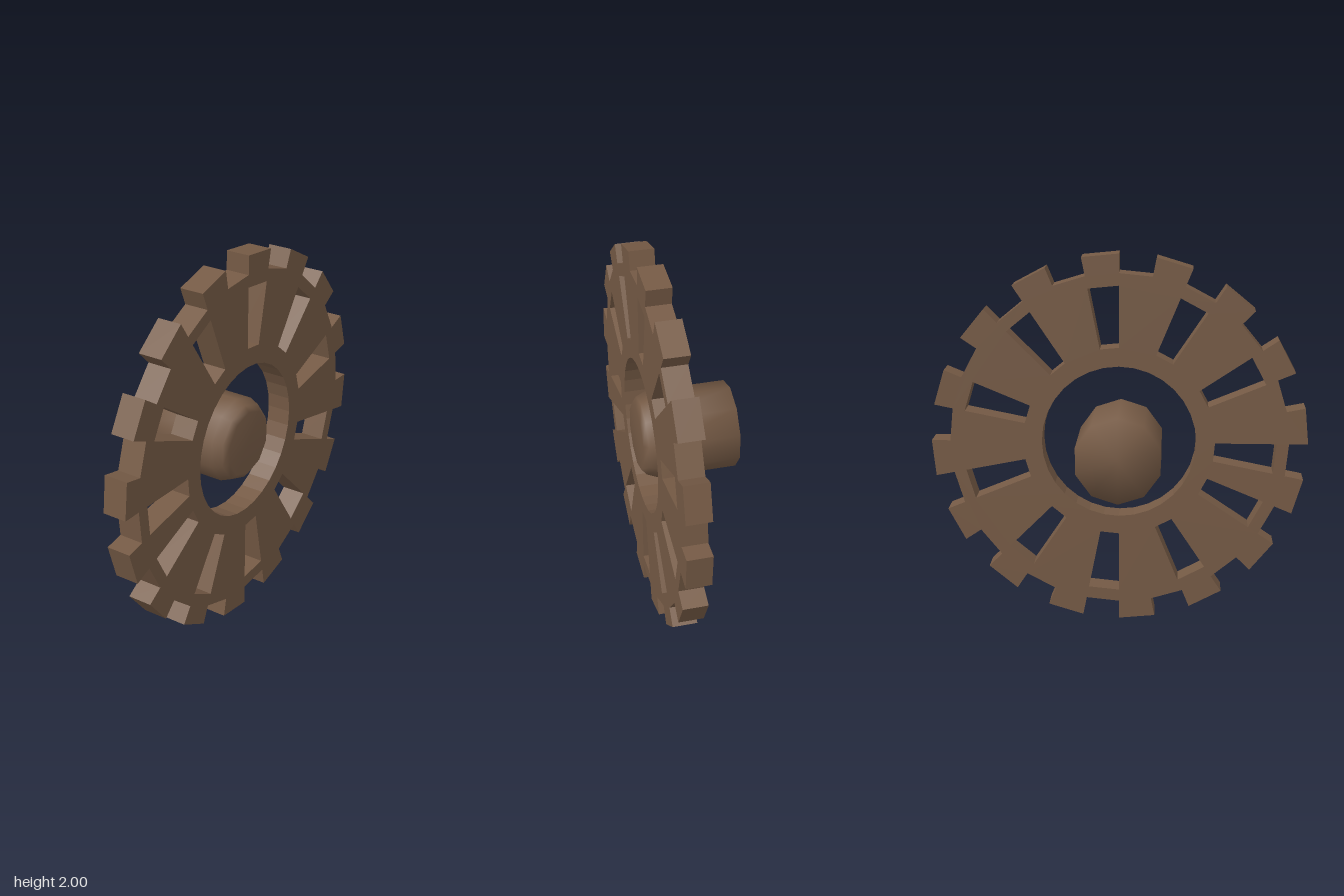
import * as THREE from 'three';

const STEP = Math.PI / 16; // the wheel is divided into 32 equal sectors
const polar = (radius, i) =>
  new THREE.Vector2(radius * Math.cos(i * STEP), radius * Math.sin(i * STEP));

// Flat gear plate: 16 teeth, slots in every third sector, open centre
function createGearPlate(material) {
  const outline = [];
  for (let i = 0; i < 32; i++) {
    const radius = i % 2 ? 1 : 0.9;
    outline.push(polar(radius, i), polar(radius, i + 1));
  }
  const shape = new THREE.Shape(outline);

  const bore = [];
  for (let i = 0; i < 32; i++) bore.push(polar(0.41, i));
  shape.holes.push(new THREE.Path(bore));

  for (let k = 0; k < 11; k++) {
    const i = 18 + 3 * k;
    shape.holes.push(new THREE.Path([
      polar(0.51, i), polar(0.835, i), polar(0.835, i + 1), polar(0.51, i + 1),
    ]));
  }

  const geometry = new THREE.ExtrudeGeometry(shape, { depth: 0.13, bevelEnabled: false });
  const plate = new THREE.Mesh(geometry, material);
  plate.name = 'gearPlate';
  plate.position.set(0, 1, 0.1);
  return plate;
}

// Ten-sided smooth-shaded axle with a rounded front end
function createAxle(material) {
  const profile = [
    [0, -0.25], [0.228, -0.25], [0.228, 0.17], [0.205, 0.225], [0.175, 0.25], [0, 0.25],
  ].map(([r, y]) => new THREE.Vector2(r, y));
  const geometry = new THREE.LatheGeometry(profile, 10);
  geometry.rotateX(Math.PI / 2);
  const axle = new THREE.Mesh(geometry, material);
  axle.name = 'axle';
  axle.position.set(-0.01, 0.993, 0);
  return axle;
}

export function createModel() {
  const brown = new THREE.MeshStandardMaterial({ color: 0x755a45 });
  brown.name = 'brown';

  const model = new THREE.Group();
  model.name = 'gearWheel';
  model.add(createGearPlate(brown), createAxle(brown));
  return model;
}
